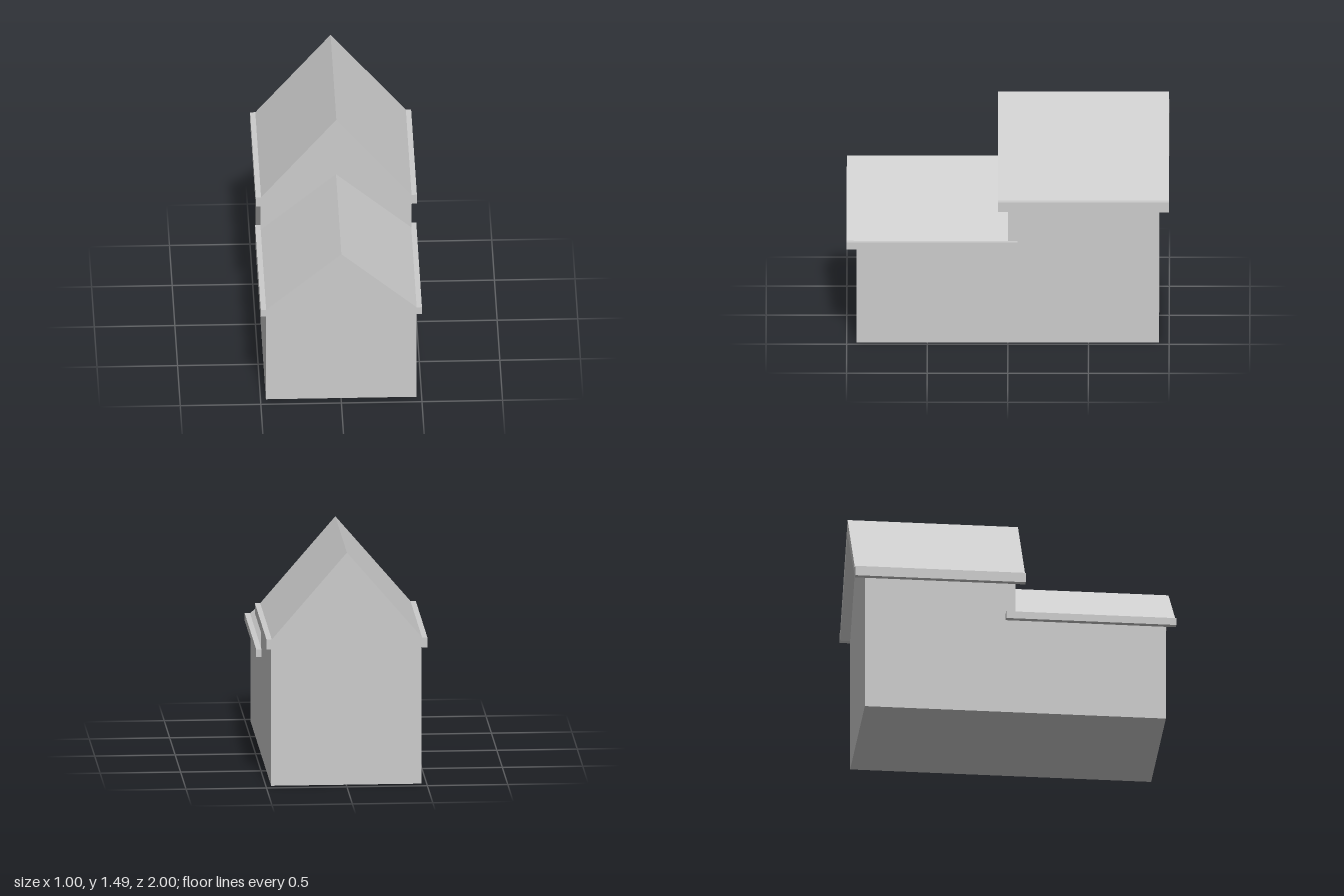
import * as THREE from 'three';

const material = new THREE.MeshStandardMaterial({ color: 0xcccccc, flatShading: true });
const HALF = 0.467; // half width of the walls
const EAVE = 0.5;   // half width across the eaves

// Extrude an x-y outline from zBack to zFront
function prism(name, points, zBack, zFront) {
  const shape = new THREE.Shape(points.map(([x, y]) => new THREE.Vector2(x, y)));
  const geometry = new THREE.ExtrudeGeometry(shape, { depth: zFront - zBack, bevelEnabled: false });
  geometry.translate(0, 0, zBack);
  const mesh = new THREE.Mesh(geometry, material);
  mesh.name = name;
  return mesh;
}

// Complete a right-hand outline with its mirror image
const mirrored = (right) => [...right, ...right.map(([x, y]) => [-x, y]).reverse()];

// One gabled section: pentagonal walls under a chevron roof with square eaves
function house(name, { ridge, gable, eaveTop, eaveBottom, walls, roof }) {
  const group = new THREE.Group();
  group.name = name;
  const wallOutline = [[-HALF, 0], [HALF, 0], [HALF, eaveBottom], [0, gable], [-HALF, eaveBottom]];
  const eaves = mirrored([[HALF, eaveBottom], [EAVE, eaveBottom], [EAVE, eaveTop], [HALF, eaveTop]]);
  const roofOutline = [[0, gable], ...eaves.slice(0, 4), [0, ridge], ...eaves.slice(4)];
  group.add(prism('walls', wallOutline, ...walls), prism('roof', roofOutline, ...roof));
  return group;
}

export function createModel() {
  const model = new THREE.Group();
  model.name = 'steppedHouse';
  model.add(
    // Lower front section
    house('frontHouse', {
      ridge: 1.063, gable: 0.993, eaveTop: 0.675, eaveBottom: 0.628,
      walls: [0, 0.938], roof: [-0.06, 1],
    }),
    // Taller rear section
    house('rearHouse', {
      ridge: 1.487, gable: 1.387, eaveTop: 0.942, eaveBottom: 0.878,
      walls: [-0.938, 0], roof: [-1, 0.062],
    }),
  );
  return model;
}
